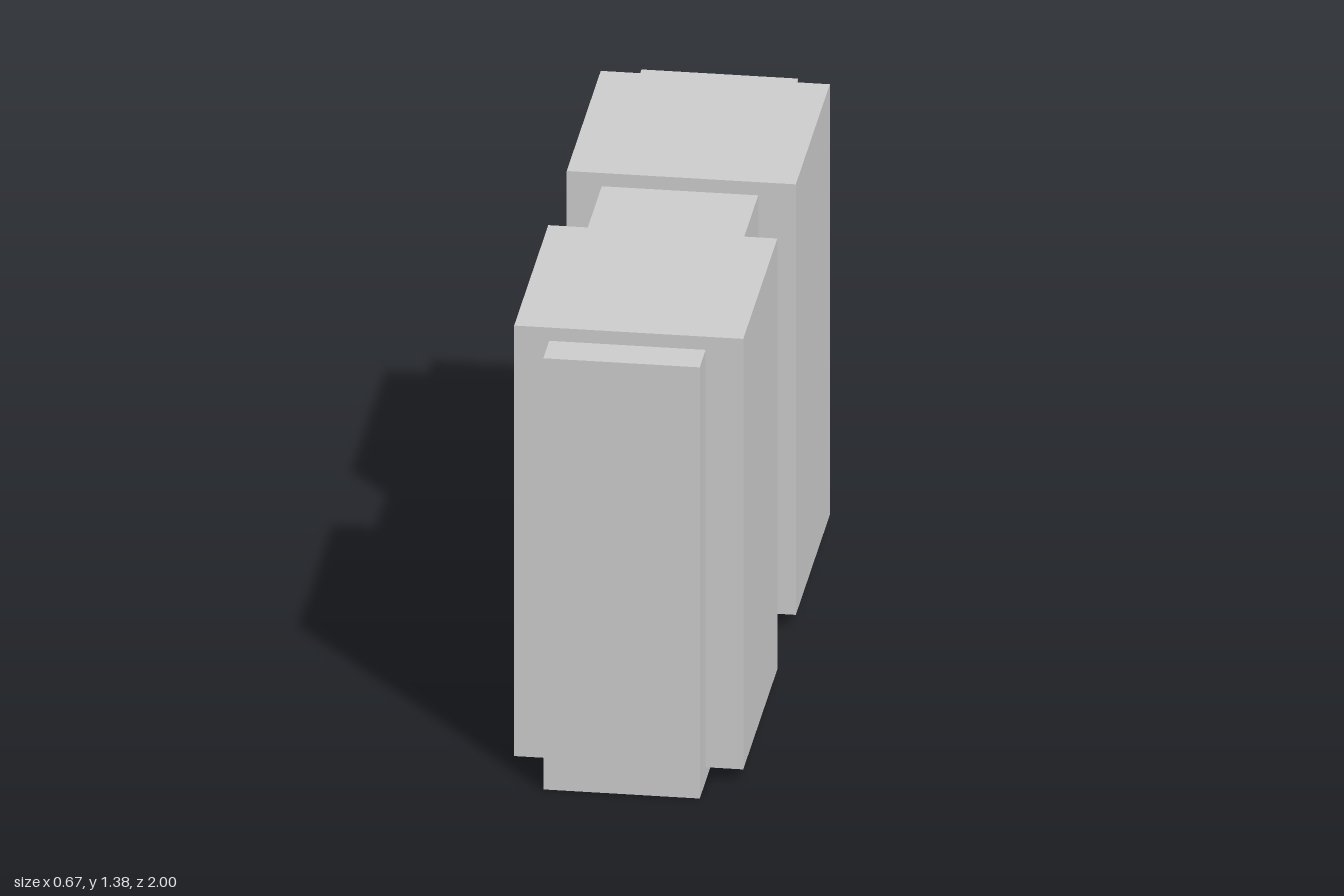
import * as THREE from 'three';

export function createModel() {
  const group = new THREE.Group();
  const material = new THREE.MeshStandardMaterial({ color: 0xcccccc, flatShading: true });

  // Box spanning y0..y1 and z0..z1, centred across its width
  const addBlock = (name, width, y0, y1, z0, z1, x = 0) => {
    const mesh = new THREE.Mesh(new THREE.BoxGeometry(width, y1 - y0, z1 - z0), material);
    mesh.name = name;
    mesh.position.set(x, (y0 + y1) / 2, (z0 + z1) / 2);
    group.add(mesh);
  };

  // Long narrow core standing on the ground
  addBlock('core', 0.448, 0, 1.343, -0.998, 0.998, -0.0035);

  // Two wider blocks wrapped around the core, slightly raised
  addBlock('frontBlock', 0.656, 0.043, 1.384, 0.183, 0.877);
  addBlock('backBlock', 0.656, 0.043, 1.384, -0.883, -0.191);

  // The whole body is turned very slightly about the vertical
  group.rotation.y = -0.0075;
  group.name = 'blockBuilding';
  return group;
}
